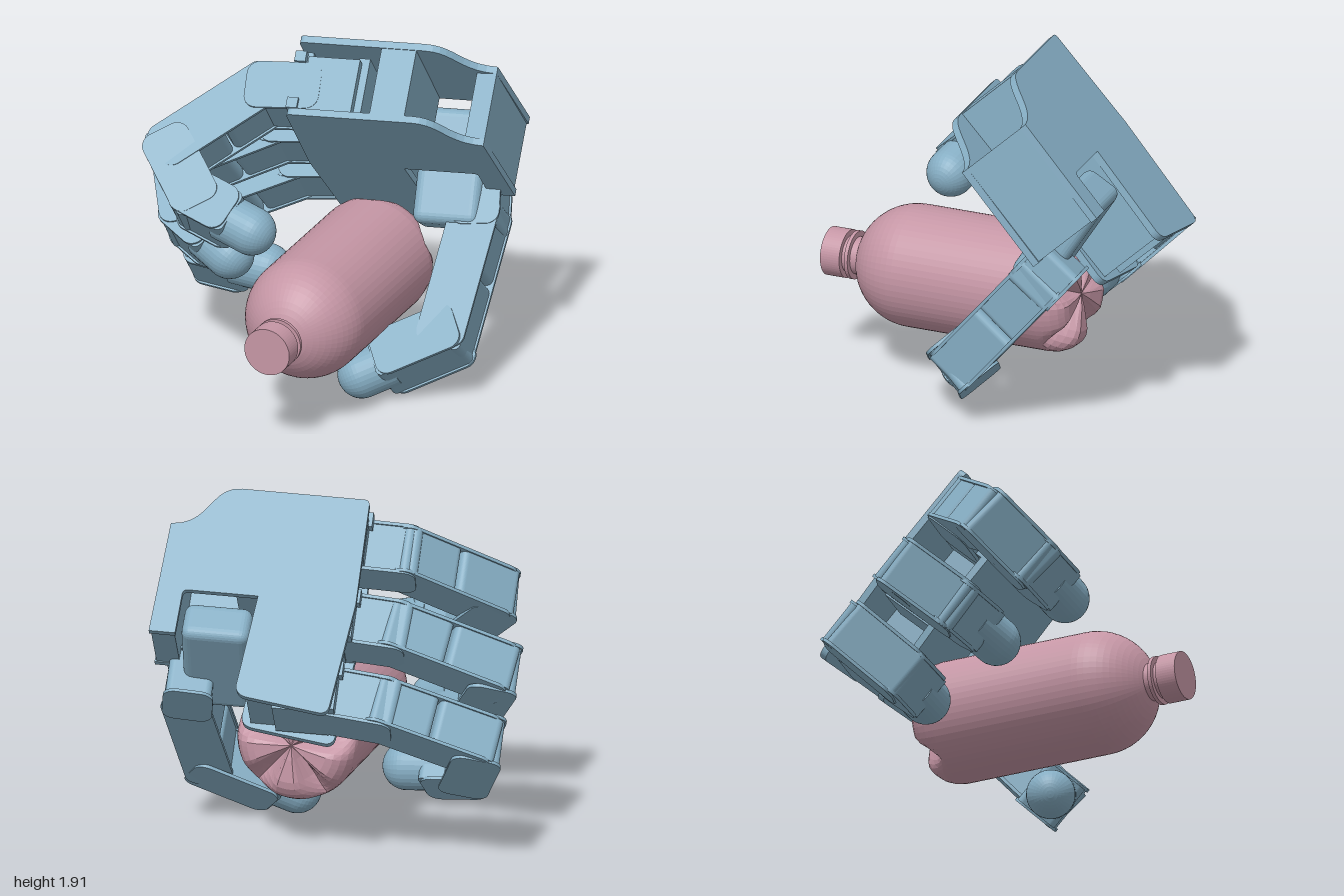
import * as THREE from 'three';
import { RoundedBoxGeometry } from 'three/addons/geometries/RoundedBoxGeometry.js';

const handMat = new THREE.MeshStandardMaterial({ color: 0x86aec4, flatShading: true, side: THREE.DoubleSide });
const bottleMat = new THREE.MeshStandardMaterial({ color: 0xc596a5, flatShading: true, side: THREE.DoubleSide });
const V = (x, y, z) => new THREE.Vector3(x, y, z);

function add(parent, name, geo, mat = handMat) {
  const m = new THREE.Mesh(geo, mat);
  m.name = name;
  parent.add(m);
  return m;
}

// Box given by its limits
function block(parent, name, x0, x1, y0, y1, z0, z1) {
  const geo = new THREE.BoxGeometry(x1 - x0, y1 - y0, z1 - z0);
  geo.translate((x0 + x1) / 2, (y0 + y1) / 2, (z0 + z1) / 2);
  return add(parent, name, geo);
}

// Link side profile with rounded corners, extruded across the finger
function linkGeo(x0, x1, h, r, z0, z1) {
  const s = new THREE.Shape();
  s.absarc(x1 - r, h - r, r, Math.PI / 2, 0, true);
  s.absarc(x1 - r, r - h, r, 0, -Math.PI / 2, true);
  s.absarc(x0 + r, r - h, r, -Math.PI / 2, -Math.PI, true);
  s.absarc(x0 + r, h - r, r, Math.PI, Math.PI / 2, true);
  s.closePath();
  const g = new THREE.ExtrudeGeometry(s, { depth: z1 - z0, bevelEnabled: false, curveSegments: 6 });
  return g.translate(0, 0, z0);
}

// Group whose x axis runs from a to b and whose z axis is the hinge
function linkGroup(parent, name, a, b) {
  const g = new THREE.Group();
  const x = b.clone().sub(a).normalize();
  const y = V(0, 0, 1).cross(x).normalize();
  const z = x.clone().cross(y);
  g.matrix.makeBasis(x, y, z).setPosition(a);
  g.matrix.decompose(g.position, g.quaternion, g.scale);
  g.name = name;
  parent.add(g);
  return g;
}

// Finger: links between the given joints, the last one with a domed tip
function finger(parent, name, joints) {
  const f = new THREE.Group();
  f.name = name;
  parent.add(f);
  const p = joints.map(j => V(...j));
  const names = ['knuckle', 'lowerLink', 'middleLink'];
  for (let i = 0; i < p.length - 1; i++) {
    const last = i === p.length - 2;
    const label = last ? 'tipLink' : names[i];
    const g = linkGroup(f, label, p[i], p[i + 1]);
    const L = p[i].distanceTo(p[i + 1]);
    const w = i % 2 ? 0.122 : 0.13;
    const end = last ? L - 0.1 : L + 0.085;
    // Long links are two blocks with a seam between them
    const cuts = L > 0.45 && !last ? [-0.08, L * 0.48, end] : [-0.08, end];
    for (let k = 0; k < cuts.length - 1; k++) {
      add(g, label + 'Core', linkGeo(cuts[k] + k * 0.012, cuts[k + 1], 0.122, 0.035, -w, w));
    }
    for (const s of [-1, 1]) {
      const z = s * (w + 0.003);
      add(g, label + 'SidePlate', linkGeo(-0.1, end - 0.01, 0.133, 0.07, z - 0.009, z + 0.009));
    }
    if (last) {
      const len = 0.18;
      const rod = new THREE.CylinderGeometry(0.13, 0.13, len, 32);
      add(g, 'fingertipSleeve', rod.rotateZ(Math.PI / 2).translate(L - len / 2, 0, 0));
      const dome = new THREE.SphereGeometry(0.13, 32, 10, 0, Math.PI * 2, 0, Math.PI / 2);
      add(g, 'fingertipDome', dome.rotateZ(-Math.PI / 2).translate(L, 0, 0));
    }
  }
}

// Palm plate between two depths; profile is seen from the back of the hand
function palmPlate(parent, name, y0, y1) {
  const s = new THREE.Shape();
  s.moveTo(0.03, 0);
  s.lineTo(0.68, 0);
  s.bezierCurveTo(0.85, 0, 0.82, 0.22, 1.03, 0.23);
  s.lineTo(1.07, 0.85);
  s.lineTo(0.93, 0.85);
  s.lineTo(0.92, 0.63);
  s.quadraticCurveTo(0.92, 0.6, 0.89, 0.6);
  s.lineTo(0.52, 0.6);
  s.lineTo(0.57, 1.1);
  s.quadraticCurveTo(0.58, 1.17, 0.5, 1.18);
  s.lineTo(0.13, 1.23);
  s.quadraticCurveTo(0.07, 1.24, 0.065, 1.18);
  s.lineTo(0, 0.6);
  s.lineTo(0, 0.03);
  s.quadraticCurveTo(0, 0, 0.03, 0);
  const g = new THREE.ExtrudeGeometry(s, { depth: y1 - y0, bevelEnabled: false, curveSegments: 10 });
  add(parent, name, g.rotateX(Math.PI / 2).translate(0, y1, 0));
}

function buildHand() {
  // Local axes: x towards the wrist, y out of the palm, z towards the last finger
  const hand = new THREE.Group();
  hand.name = 'hand';
  const e1 = V(0.986, 0.046, -0.162).normalize();
  const e3 = e1.clone().cross(V(0.15, -0.662, 0.734)).normalize();
  const e2 = e3.clone().cross(e1);
  hand.matrix.makeBasis(e1, e2, e3).setPosition(-0.117, 1.88, -0.15);
  hand.matrix.decompose(hand.position, hand.quaternion, hand.scale);

  // Hollow palm: two plates joined by a spine and a wrist block
  palmPlate(hand, 'backPlate', 0, 0.04);
  palmPlate(hand, 'palmFacePlate', 0.42, 0.46);
  block(hand, 'palmSpine', 0.45, 0.64, 0.03, 0.43, 0.005, 0.59);
  block(hand, 'palmSpineEnd', 0.37, 0.52, 0.03, 0.43, 0.58, 1.15);
  const wrist = new THREE.Shape([[0.92, 0.24], [1.03, 0.23], [1.06, 0.845], [0.935, 0.845]].map(q => new THREE.Vector2(...q)));
  const wg = new THREE.ExtrudeGeometry(wrist, { depth: 0.44, bevelEnabled: false });
  add(hand, 'wristBlock', wg.rotateX(Math.PI / 2).translate(0, 0.45, 0));

  // Finger motors and their output brackets
  for (const [z, x] of [[0.2, 0], [0.64, 0.01], [1.06, 0.05]]) {
    block(hand, 'fingerMotor', x + 0.05, x + 0.33, 0.09, 0.4, z - 0.14, z + 0.13);
    block(hand, 'motorFlange', x + 0.31, x + 0.37, 0.06, 0.42, z - 0.09, z + 0.09);
    block(hand, 'motorBracket', x, x + 0.07, 0.06, 0.42, z - 0.12, z + 0.12);
    for (const y of [0.07, 0.34]) block(hand, 'bracketTab', x - 0.02, x + 0.04, y, y + 0.06, z - 0.16, z - 0.08);
  }

  // Tilted thumb motor passing through the palm notch
  const motor = new RoundedBoxGeometry(0.36, 0.62, 0.22, 3, 0.05);
  add(hand, 'thumbMotor', motor.rotateX(0.27).translate(0.725, 0.34, 0.82));

  // Three fingers and the thumb
  finger(hand, 'firstFinger', [[0.04, 0.26, 0.2], [-0.19, 0.27, 0.2], [-0.63, 0.64, 0.21], [-0.46, 0.89, 0.24], [-0.14, 1.03, 0.255]]);
  finger(hand, 'secondFinger', [[0.04, 0.26, 0.62], [-0.19, 0.27, 0.63], [-0.71, 0.5, 0.7], [-0.62, 0.79, 0.69], [-0.36, 0.985, 0.68]]);
  finger(hand, 'thirdFinger', [[0.07, 0.26, 1.05], [-0.18, 0.27, 1.07], [-0.68, 0.48, 1.13], [-0.6, 0.78, 1.14], [-0.28, 0.84, 1.14]]);
  finger(hand, 'thumb', [[0.87, 0.45, 0.92], [0.88, 0.56, 0.935], [0.795, 1.23, 1.02], [0.356, 1.44, 1.08]]);
  return hand;
}

function buildBottle() {
  const bottle = new THREE.Group();
  bottle.name = 'bottle';
  const R = 0.328, pts = [[0, -0.47], [0.08, -0.485], [0.2, -0.495]];
  for (let i = 1; i <= 5; i++) { // rounded base edge
    const a = i / 5 * Math.PI / 2;
    pts.push([0.2 + (R - 0.2) * Math.sin(a), -0.34 - 0.155 * Math.cos(a)]);
  }
  for (let i = 0; i <= 12; i++) { // domed shoulder
    const a = i / 12 * 1.26;
    pts.push([R * Math.cos(a), 0.49 + R * Math.sin(a)]);
  }
  pts.push([0.1, 0.84], [0.13, 0.84], [0.13, 0.86], [0.1, 0.86], [0.1, 0.888], [0.13, 0.888], [0.13, 1], [0, 1]);
  const geo = new THREE.LatheGeometry(pts.map(q => new THREE.Vector2(...q)), 60);
  geo.rotateX(Math.PI / 2);

  // Five V grooves pressed into the base
  const p = geo.attributes.position, step = Math.PI * 2 / 5;
  for (let i = 0; i < p.count; i++) {
    const x = p.getX(i), y = p.getY(i), z = p.getZ(i);
    if (z > -0.341) continue;
    const t = (Math.atan2(y, x) + 0.84) / step;
    const off = Math.abs(t - Math.round(t)) * step;
    const g = Math.max(0, 1 - off / 0.36) * Math.min(1, Math.hypot(x, y) / 0.12);
    p.setZ(i, -0.34 + (z + 0.34) * (1 - 0.8 * g));
  }
  geo.computeVertexNormals();
  add(bottle, 'bottleBody', geo, bottleMat);
  bottle.position.set(0.218, 0.585, 0);
  return bottle;
}

export function createModel() {
  const model = new THREE.Group();
  model.name = 'handWithBottle';
  model.add(buildHand(), buildBottle());
  return model;
}
